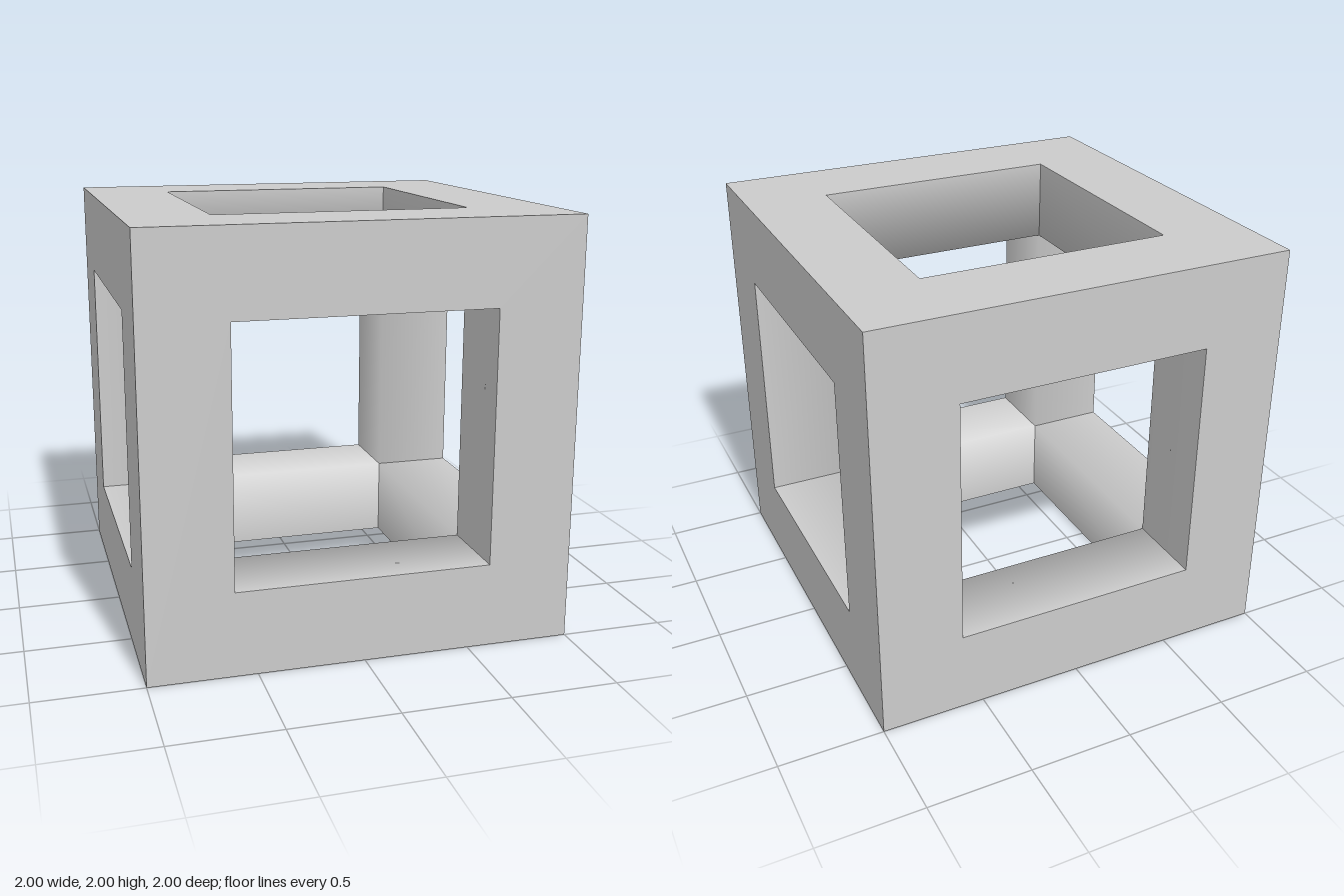
import * as THREE from 'three';

const H = 1;     // half the cube's side
const I = 0.6;   // half the opening's side
const material = new THREE.MeshStandardMaterial({ color: 0xcccccc });

const square = (h, Path) => new Path([[-h, -h], [h, -h], [h, h], [-h, h]].map(([x, y]) => new THREE.Vector2(x, y)));

// Flat square face with a square opening, facing +z
function faceGeometry() {
  const shape = square(H, THREE.Shape);
  shape.holes.push(square(I, THREE.Path));
  return new THREE.ShapeGeometry(shape).translate(0, 0, H);
}

// The two inner sides of a bar along z, shaded smoothly across their shared edge
function barGeometry() {
  const r = Math.SQRT1_2;
  const profile = [ // x, y, normal x, normal y
    [H, I, 0, -1],
    [I, I, -r, -r],
    [I, H, -1, 0],
  ];
  const positions = [], normals = [], index = [];
  profile.forEach(([x, y, nx, ny], i) => {
    for (const z of [-I, I]) {
      positions.push(x, y, z);
      normals.push(nx, ny, 0);
    }
    const a = 2 * i;
    if (i < 2) index.push(a, a + 1, a + 2, a + 1, a + 3, a + 2);
  });
  const geometry = new THREE.BufferGeometry();
  geometry.setAttribute('position', new THREE.Float32BufferAttribute(positions, 3));
  geometry.setAttribute('normal', new THREE.Float32BufferAttribute(normals, 3));
  geometry.setIndex(index);
  return geometry;
}

export function createModel() {
  const model = new THREE.Group();
  model.name = 'cubeFrame';
  const quarter = Math.PI / 2;

  // Six outer faces
  const face = faceGeometry();
  const faces = {
    frontFace: [0, 0], leftFace: [0, 1], backFace: [0, 2], rightFace: [0, 3],
    topFace: [-1, 0], bottomFace: [1, 0],
  };
  for (const [name, [rx, ry]] of Object.entries(faces)) {
    const mesh = new THREE.Mesh(face, material);
    mesh.name = name;
    mesh.rotation.set(rx * quarter, ry * quarter, 0);
    mesh.position.y = H;
    model.add(mesh);
  }

  // Inner sides of the twelve bars, four along each axis
  const bar = barGeometry();
  const axes = { depthBars: [0, 0], widthBars: [0, 1], uprightBars: [1, 0] };
  for (const [name, [rx, ry]] of Object.entries(axes)) {
    const bars = new THREE.Group();
    bars.name = name;
    bars.rotation.set(rx * quarter, ry * quarter, 0);
    bars.position.y = H;
    for (let i = 0; i < 4; i++) {
      const mesh = new THREE.Mesh(bar, material);
      mesh.name = 'barInnerSides';
      mesh.rotation.z = i * quarter;
      bars.add(mesh);
    }
    model.add(bars);
  }
  return model;
}
